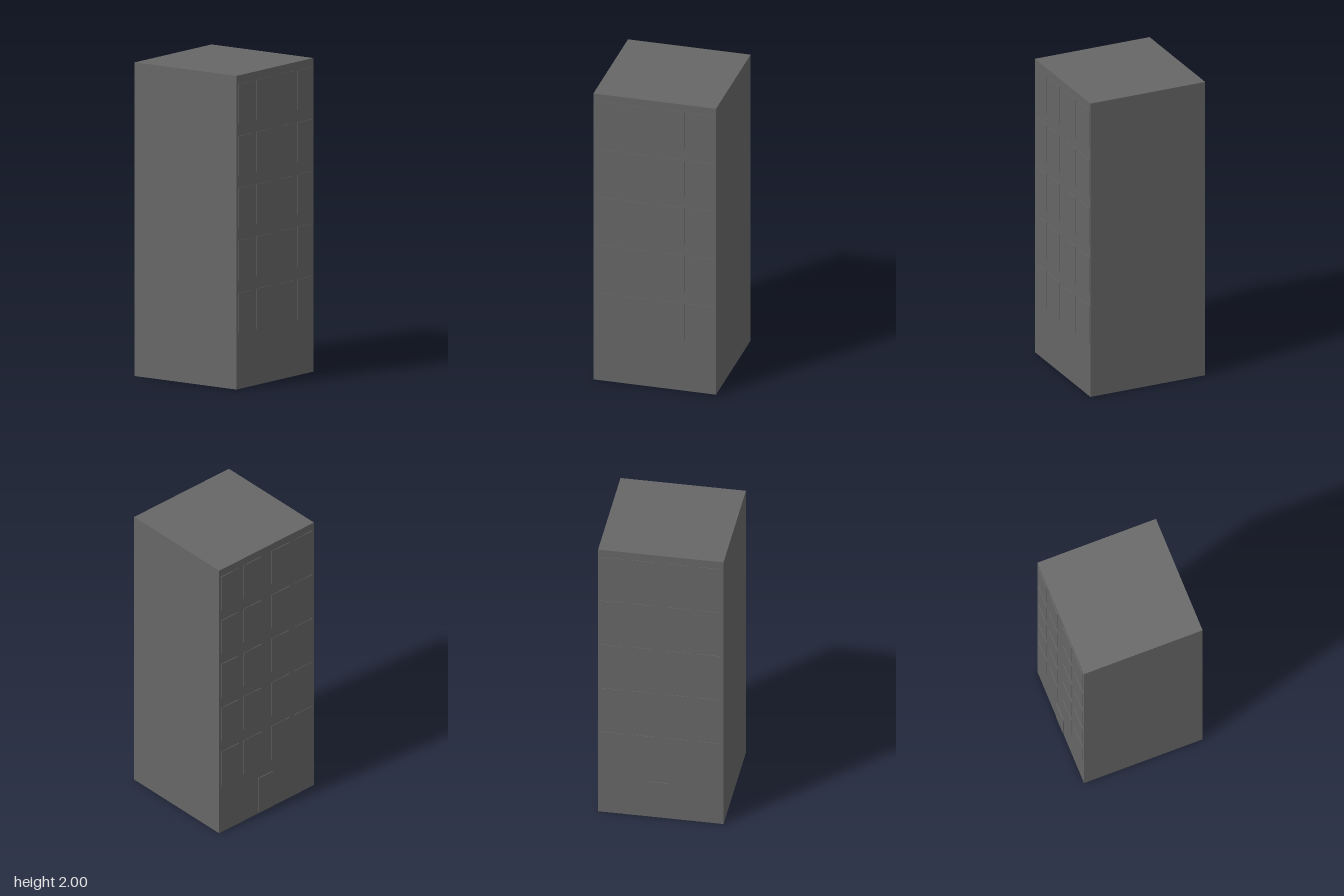
import * as THREE from 'three';

export function createModel() {
  const group = new THREE.Group();
  const grey = new THREE.MeshStandardMaterial({ color: 0x666666 });
  grey.name = 'concrete grey';

  const addBox = (name, w, h, d, x, y, z) => {
    const mesh = new THREE.Mesh(new THREE.BoxGeometry(w, h, d), grey);
    mesh.name = name;
    mesh.position.set(x, y, z);
    group.add(mesh);
  };

  // Plain tower block
  addBox('tower', 0.8, 2, 0.8, 0, 1, 0);

  // Five floors of four raised window panels on the left and right walls
  for (const side of [-1, 1]) {
    for (let floor = 0; floor < 5; floor++) {
      for (const z of [-0.31, -0.12, 0.117, 0.308]) {
        addBox('window', 0.008, 0.255, 0.147, side * 0.399, 0.485 + floor * 0.3335, z);
      }
    }
  }

  // Door panel on the right wall
  addBox('door', 0.01, 0.25, 0.125, -0.3995, 0.143, -0.009);

  return group;
}
